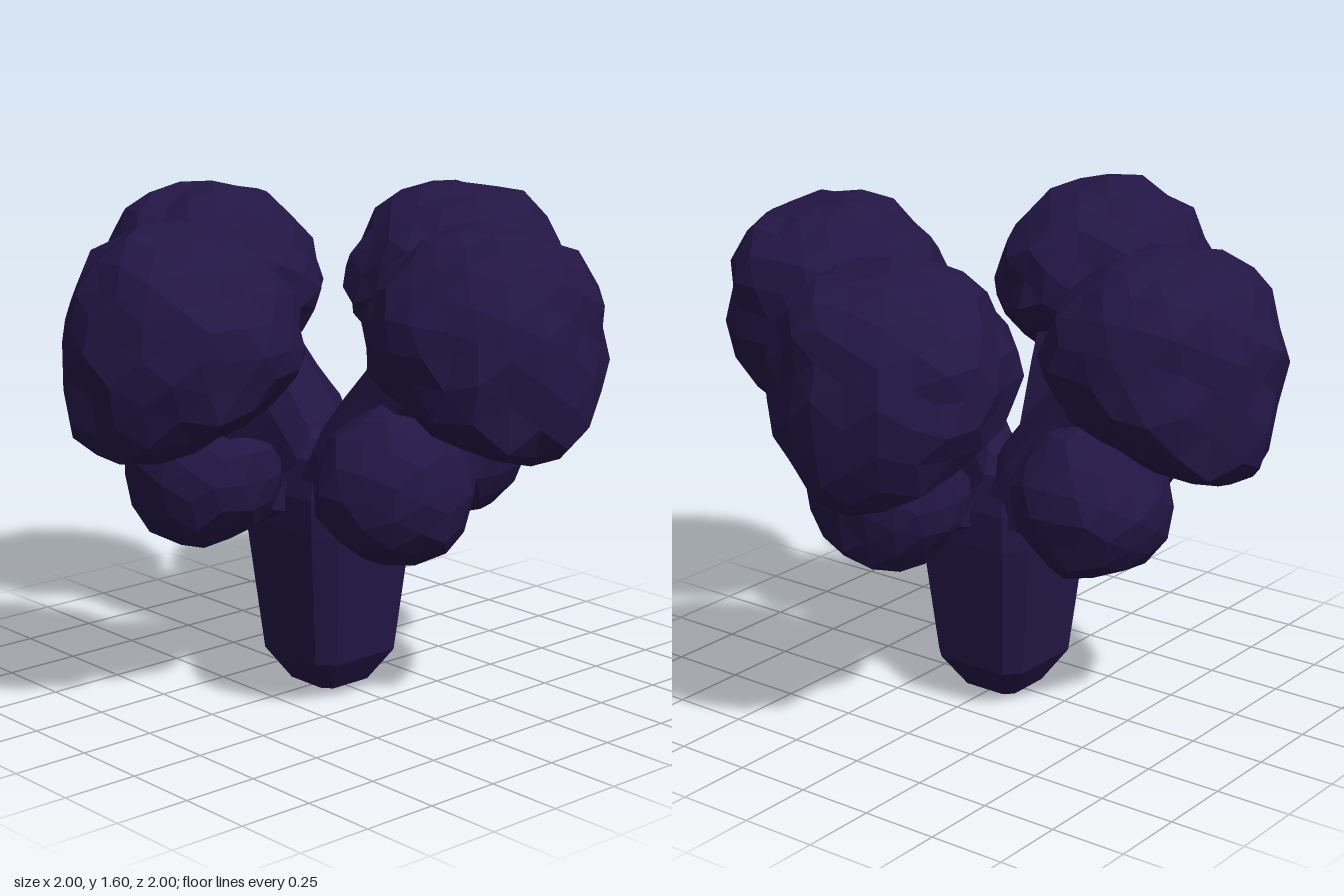
import * as THREE from 'three';

const material = new THREE.MeshStandardMaterial({ color: 0x231645, flatShading: true });

// Repeatable 0..1 value from a direction, so shared corners stay together
function hash(v, seed) {
  const s = Math.sin(Math.round(v.x * 500) * 12.99 + Math.round(v.y * 500) * 78.23
    + Math.round(v.z * 500) * 37.72 + seed * 5.31) * 43758.5453;
  return s - Math.floor(s);
}

function addMesh(parent, name, geometry) {
  const mesh = new THREE.Mesh(geometry, material);
  mesh.name = name;
  parent.add(mesh);
  return mesh;
}

// Lumpy faceted ball: squarer on its outer side (+z), with a lower half
// that may be shallower and slope down into an outer lip
function lump(seed, detail, size, lower, slope, outerPower) {
  const geo = new THREE.IcosahedronGeometry(1, detail);
  const pos = geo.attributes.position;
  const v = new THREE.Vector3();
  for (let i = 0; i < pos.count; i++) {
    v.fromBufferAttribute(pos, i);
    const p = v.z > 0 ? outerPower : 2;
    const bump = 1 + 0.1 * (hash(v, seed) - 0.6);
    const radial = (Math.abs(v.y) ** p + Math.abs(v.z) ** p) ** (1 / p);
    v.multiplyScalar(bump / Math.hypot(v.x, radial));
    const under = Math.max(0, -v.y);
    const tilt = v.z > 0 ? slope : slope * 0.5;
    const z = v.z * size.z * (1 - slope * 0.1 * v.y);
    const y = v.y * (v.y < 0 ? lower : size.y) - tilt * under * z;
    pos.setXYZ(i, v.x * size.x, y, z);
  }
  geo.computeVertexNormals();
  return geo;
}

// Square trunk with bevelled corners, rounded at the foot and widening upward
function trunkGeometry() {
  const profile = [[0, 0], [0.11, 0.012], [0.187, 0.12], [0.238, 0.56], [0.242, 0.68], [0.21, 0.8], [0.1, 0.84], [0, 0.79]]
    .map(p => new THREE.Vector2(...p));
  const geo = new THREE.LatheGeometry(profile, 8, Math.PI / 8);
  const pos = geo.attributes.position;
  for (let i = 0; i < pos.count; i++) {
    const x = pos.getX(i), z = pos.getZ(i);
    if (Math.abs(x) < Math.abs(z)) pos.setX(i, x * 1.75);
    else pos.setZ(i, z * 1.75);
  }
  geo.computeVertexNormals();
  return geo;
}

// Widening branch swept along a curve, its ends buried in trunk and crown
function branchGeometry(points, startRadius, endRadius, sides) {
  const curve = new THREE.CatmullRomCurve3(points.map(p => new THREE.Vector3(...p)));
  const rings = 6;
  const geo = new THREE.TubeGeometry(curve, rings, 1, sides);
  const pos = geo.attributes.position;
  const v = new THREE.Vector3();
  for (let i = 0; i < pos.count; i++) {
    const t = Math.floor(i / (sides + 1)) / rings;
    const c = curve.getPointAt(t);
    v.fromBufferAttribute(pos, i).sub(c)
      .multiplyScalar(THREE.MathUtils.lerp(startRadius, endRadius, t)).add(c);
    pos.setXYZ(i, v.x, v.y, v.z);
  }
  geo.computeVertexNormals();
  return geo;
}

export function createModel() {
  const model = new THREE.Group();
  model.name = 'branchingPlant';
  addMesh(model, 'trunk', trunkGeometry());

  // Four arms in a pinwheel: front, left, back, right
  const crownOffset = [0.06, 0.07, -0.03, 0.04];
  ['front', 'left', 'back', 'right'].forEach((side, i) => {
    const arm = new THREE.Group();
    arm.name = side + 'Arm';
    arm.rotation.y = i * Math.PI / 2;
    model.add(arm);

    // Rising branch
    addMesh(arm, 'branch', branchGeometry(
      [[-0.08, 0.58, 0.08], [-0.08, 0.78, 0.19], [-0.03, 0.98, 0.36], [0.01, 1.16, 0.52]], 0.13, 0.185, 7));

    // Large upper crown with a drooping outer lip
    const crown = addMesh(arm, 'upperCrown',
      lump(i + 1, 3, new THREE.Vector3(0.375, 0.345, 0.365), 0.31, 0.48, 2.7));
    crown.position.set(crownOffset[i], 1.24, 0.625);

    // Short stalk and small lower crown
    addMesh(arm, 'stalk', branchGeometry(
      [[-0.04, 0.66, 0.08], [-0.08, 0.7, 0.22], [-0.13, 0.77, 0.4]], 0.12, 0.15, 6));
    const low = addMesh(arm, 'lowerCrown',
      lump(i + 11, 2, new THREE.Vector3(0.258, 0.255, 0.25), 0.25, 0, 2.2));
    low.position.set(-0.12, 0.775, 0.43);
  });
  return model;
}
